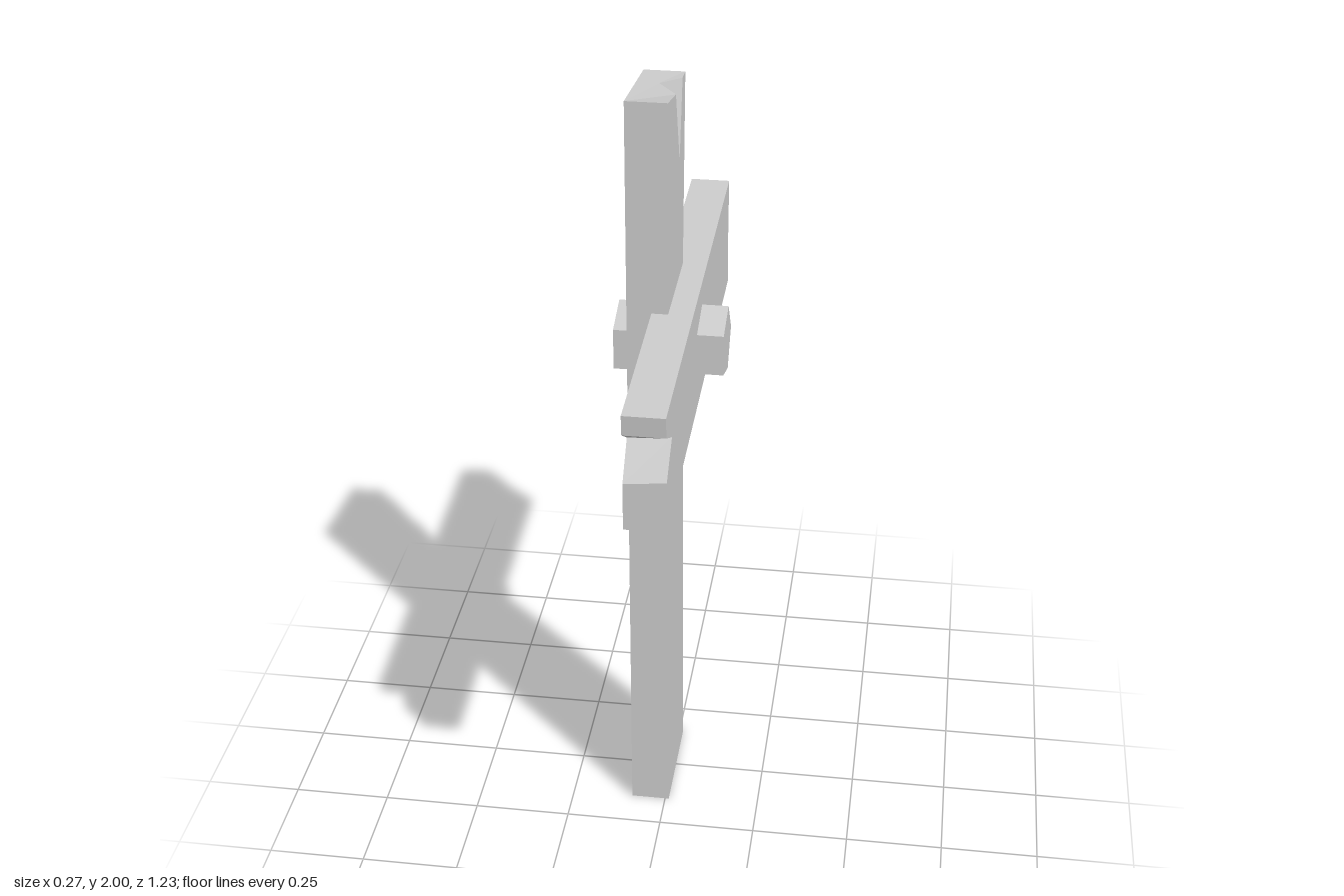
import * as THREE from 'three';

const material = new THREE.MeshStandardMaterial({ color: 0xcccccc, flatShading: true });

function addPart(group, name, geometry) {
  const mesh = new THREE.Mesh(geometry, material);
  mesh.name = name;
  group.add(mesh);
  return mesh;
}

// Side outlines are [z, y] pairs; a Shape needs (-z, y) to run along x.
const toPlane = (outline) => outline.map(([z, y]) => new THREE.Vector2(-z, y));

// Upright plank with a splintered wedge missing from its right face.
function postGeometry() {
  const right = 0.01, left = -0.09;
  const outline = [
    [0.15, 0], [-0.15, 0], [-0.115, 1.48], [-0.15, 1.965],
    [-0.1, 1.968], [-0.05, 1.78], [0.015, 1.97], [0.15, 2],
  ];
  const corners = [0, 1, 2, 3, 7];
  const points = outline.map(([z, y]) => [right, y, z]);
  const far = {};
  corners.forEach((i) => {
    far[i] = points.length;
    points.push([left, outline[i][1], outline[i][0]]);
  });
  const apex = points.push([-0.04, 1.967, -0.06]) - 1;

  const tris = [...THREE.ShapeUtils.triangulateShape(toPlane(outline), [])];
  // left face
  const plain = toPlane(corners.map((i) => outline[i]));
  for (const [a, b, c] of THREE.ShapeUtils.triangulateShape(plain, [])) {
    tris.push([far[corners[a]], far[corners[c]], far[corners[b]]]);
  }
  // bottom, back and front walls
  for (const [a, b] of [[0, 1], [1, 2], [2, 3], [7, 0]]) {
    tris.push([a, far[a], far[b]], [a, far[b], b]);
  }
  // uneven top around the wedge
  tris.push([3, far[3], apex], [3, apex, 4], [far[3], far[7], apex]);
  tris.push([apex, far[7], 6], [6, far[7], 7]);
  // inside of the wedge
  tris.push([4, apex, 5], [5, apex, 6]);

  const indexed = new THREE.BufferGeometry();
  indexed.setAttribute('position', new THREE.Float32BufferAttribute(points.flat(), 3));
  indexed.setIndex(tris.flat());
  const geometry = indexed.toNonIndexed();
  geometry.computeVertexNormals();
  return geometry;
}

// Slanted plank with a broken notch at the front end.
function crossbeamGeometry() {
  const outline = [
    [0.615, 1.455], [0.61, 1.403], [0.52, 1.355], [0.605, 1.285], [0.605, 1.155],
    [-0.61, 1.205], [-0.592, 1.325], [-0.597, 1.5],
  ];
  const geometry = new THREE.ExtrudeGeometry(new THREE.Shape(toPlane(outline)), {
    depth: 0.1, bevelEnabled: false,
  });
  geometry.rotateY(Math.PI / 2).translate(-0.03, 0, 0);
  // the notch is a little shallower on the left face
  const p = geometry.attributes.position;
  for (let i = 0; i < p.count; i++) {
    if (p.getX(i) > 0) continue;
    if (Math.abs(p.getZ(i) - 0.52) < 0.001) p.setZ(i, 0.535);
    if (Math.abs(p.getY(i) - 1.285) < 0.001) p.setY(i, 1.275);
  }
  geometry.computeVertexNormals();
  return geometry;
}

export function createModel() {
  const group = new THREE.Group();
  group.name = 'woodenCross';

  addPart(group, 'post', postGeometry());
  addPart(group, 'crossbeam', crossbeamGeometry());

  // five-sided peg through both planks
  const peg = new THREE.CylinderGeometry(0.09, 0.09, 0.27, 5);
  peg.rotateY(Math.PI).rotateZ(Math.PI / 2);
  addPart(group, 'peg', peg).position.set(0, 1.332, 0.005);

  return group;
}
